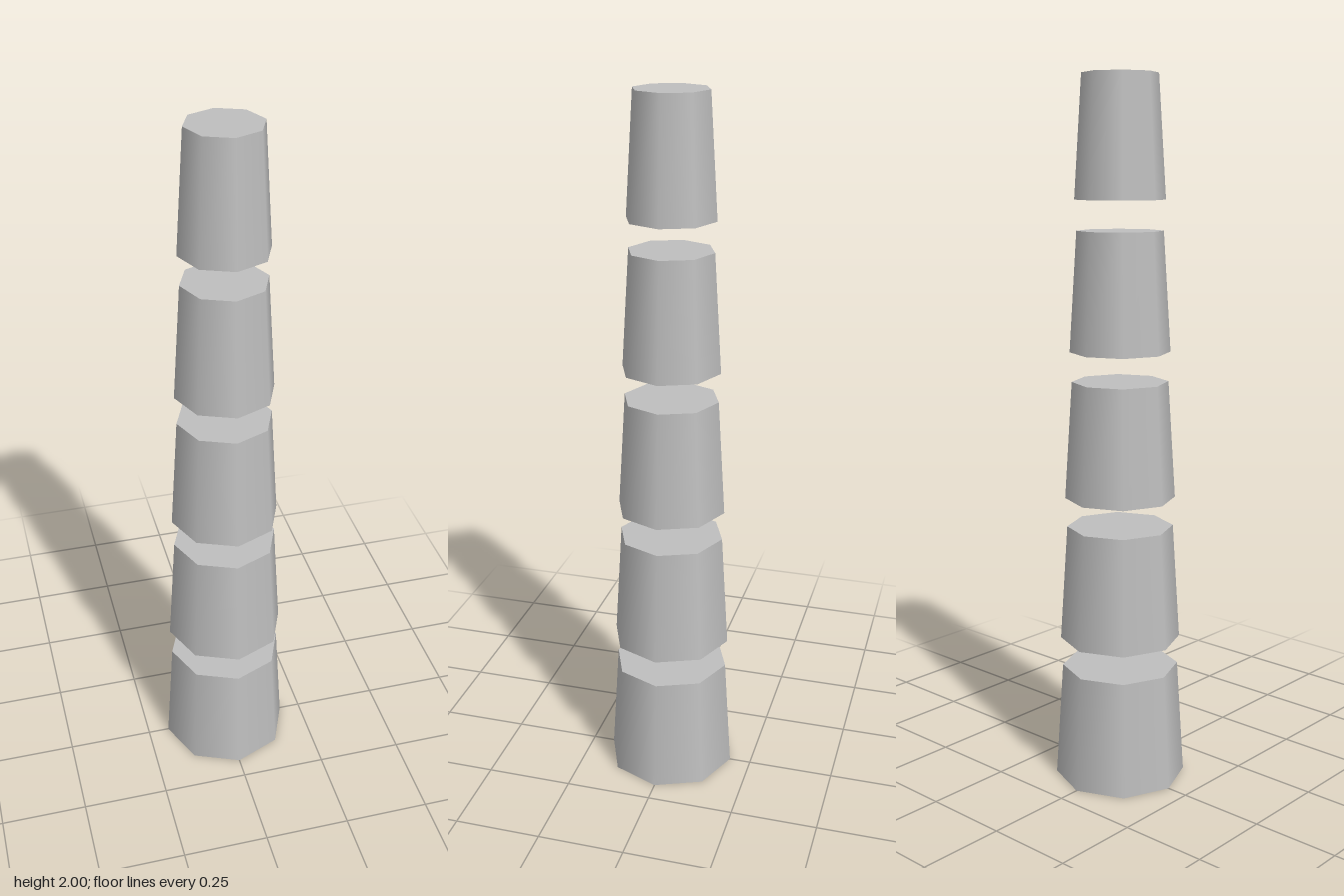
import * as THREE from 'three';

const SEGMENTS = 5;
const SIDES = 8;
const HEIGHT = 1 / 3;
const SPACING = 2 / 4.8;

export function createModel() {
  const grey = new THREE.MeshStandardMaterial({ color: 0xbfbfbf, side: THREE.DoubleSide });
  grey.name = 'light grey';

  const model = new THREE.Group();
  model.name = 'segmentedTower';

  for (let i = 0; i < SEGMENTS; i++) {
    // each segment is a little narrower than the one below it
    const bottom = 0.1875 - i * 0.015625;
    const top = bottom - 0.0208;

    const segment = new THREE.Group();
    segment.name = `segment${i + 1}`;
    segment.position.y = i * SPACING;

    // tapered eight-sided wall, open underneath
    const wall = new THREE.Mesh(
      new THREE.CylinderGeometry(top, bottom, HEIGHT, SIDES, 1, true), grey);
    wall.name = 'wall';
    wall.position.y = HEIGHT / 2;

    // flat lid
    const lid = new THREE.Mesh(new THREE.CircleGeometry(top, SIDES), grey);
    lid.name = 'lid';
    lid.rotation.x = -Math.PI / 2;
    lid.position.y = HEIGHT;

    segment.add(wall, lid);
    model.add(segment);
  }
  return model;
}
